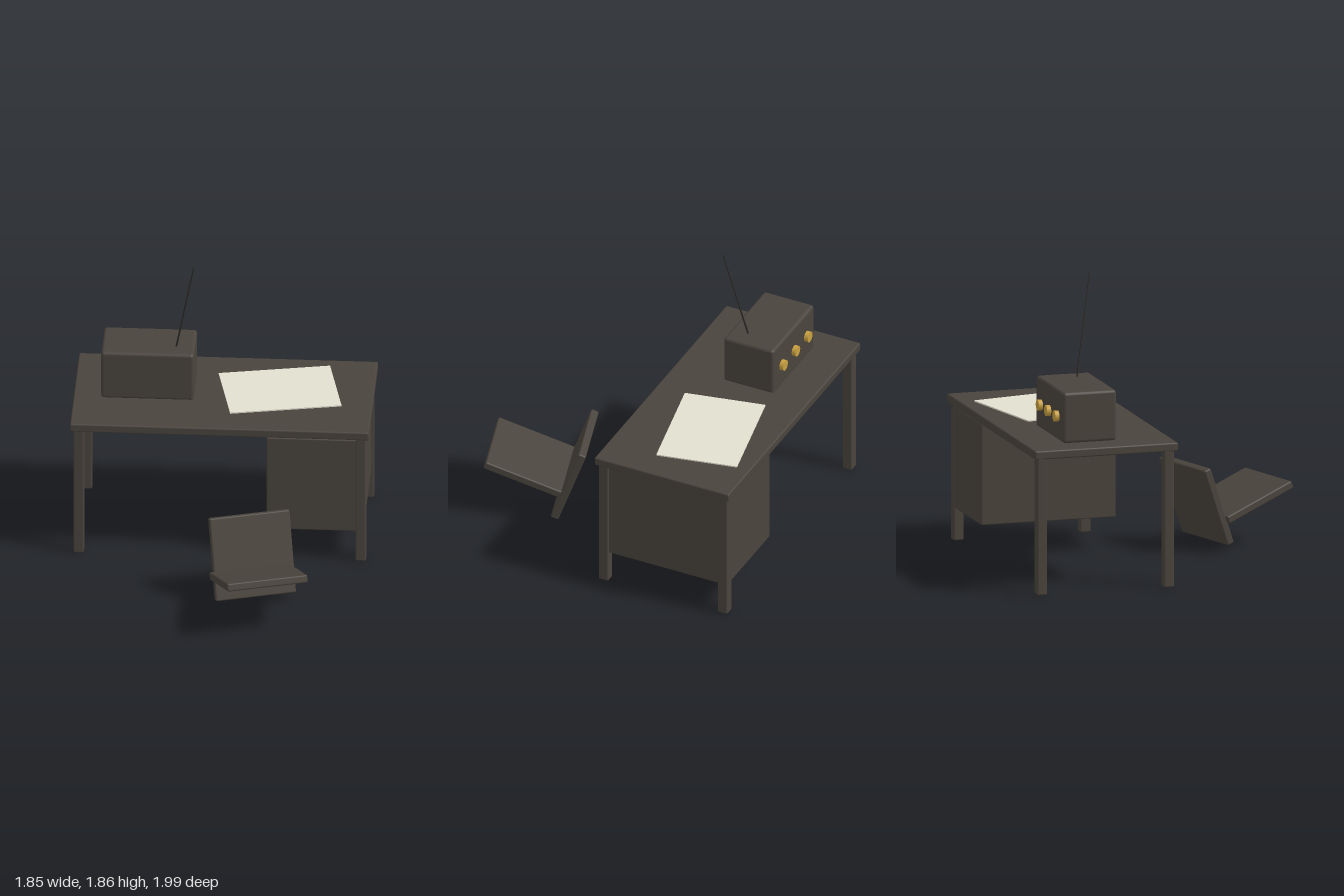
import * as THREE from 'three';
import { RoundedBoxGeometry } from 'three/addons/geometries/RoundedBoxGeometry.js';

function material(name, color) {
  const m = new THREE.MeshStandardMaterial({ color });
  m.name = name;
  return m;
}

export function createModel() {
  const model = new THREE.Group();
  model.name = 'deskWithRadioAndChair';

  const wood = material('dark wood', 0x4a443d);
  const paper = material('cream paper', 0xe2dfd0);
  const brass = material('brass', 0xc9a040);
  const metal = material('dark metal', 0x2e2b28);

  const add = (parent, name, geometry, mat, x, y, z) => {
    const mesh = new THREE.Mesh(geometry, mat);
    mesh.name = name;
    mesh.position.set(x, y, z);
    parent.add(mesh);
    return mesh;
  };
  const block = (w, h, d, r = 0.01) => new RoundedBoxGeometry(w, h, d, 2, r);

  // Desk: top, four legs and a drawer cabinet on the left
  const desk = new THREE.Group();
  desk.name = 'desk';
  model.add(desk);
  const deskZ = -0.5375;
  add(desk, 'deskTop', block(1.85, 0.055, 0.925), wood, 0, 0.8875, deskZ);
  for (const sx of [-1, 1]) {
    for (const sz of [-1, 1]) {
      add(desk, 'deskLeg', block(0.066, 0.865, 0.066), wood, sx * 0.873, 0.4325, deskZ + sz * 0.41);
    }
  }
  add(desk, 'drawerCabinet', block(0.6, 0.64, 0.87, 0.008), wood, 0.59, 0.525, deskZ);

  // Sheet lying askew on the desk
  const sheet = add(model, 'paperSheet', new THREE.BoxGeometry(0.695, 0.008, 0.515), paper, 0.344, 0.919, -0.592);
  sheet.rotation.y = 0.2;

  // Radio with three knobs on its back side and a slanted aerial
  const radio = new THREE.Group();
  radio.name = 'radio';
  model.add(radio);
  add(radio, 'radioCase', block(0.575, 0.32, 0.345, 0.02), wood, -0.467, 1.075, -0.593);
  for (const x of [-0.64, -0.468, -0.295]) {
    const knob = add(radio, 'knob', new THREE.CylinderGeometry(0.034, 0.034, 0.04, 20), brass, x, 1.07, -0.772);
    knob.rotation.x = Math.PI / 2;
  }
  const base = new THREE.Vector3(-0.297, 1.22, -0.537);
  const tip = new THREE.Vector3(-0.179, 1.86, -0.418);
  const along = tip.clone().sub(base);
  const aerial = add(radio, 'aerial', new THREE.CylinderGeometry(0.004, 0.006, along.length(), 10), metal, 0, 0, 0);
  aerial.position.addVectors(base, tip).multiplyScalar(0.5);
  aerial.quaternion.setFromUnitVectors(new THREE.Vector3(0, 1, 0), along.normalize());

  // Tipped chair: seat and backrest share the same turn and tilt
  const chair = new THREE.Group();
  chair.name = 'chair';
  model.add(chair);
  const seat = add(chair, 'seat', block(0.51, 0.05, 0.51), wood, 0.29, 0.2925, 0.684);
  const backrest = add(chair, 'backrest', block(0.51, 0.52, 0.05), wood, 0.232, 0.2925, 0.4);
  for (const part of [seat, backrest]) part.rotation.set(-0.345, 0.297, 0, 'YXZ');

  return model;
}
